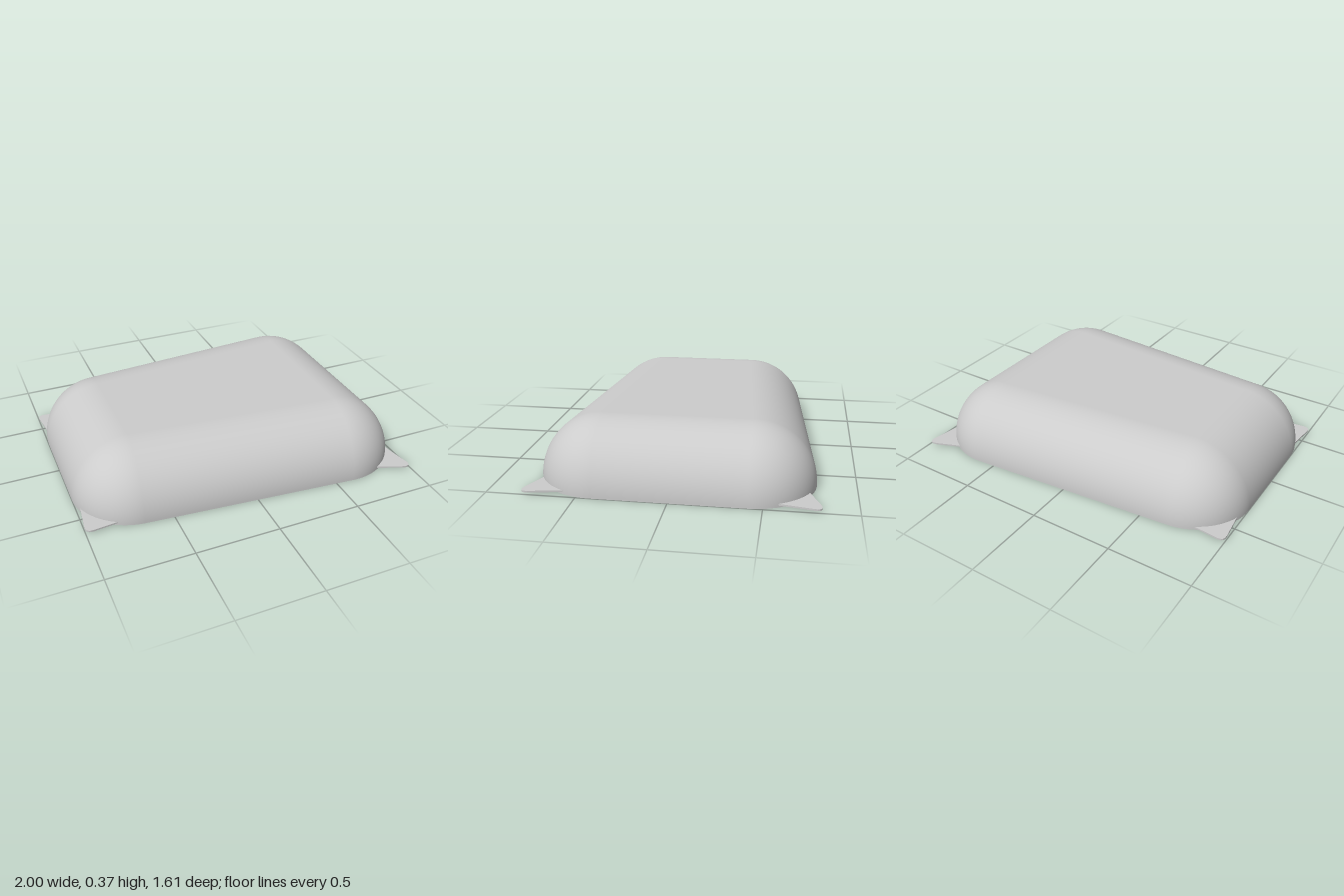
import * as THREE from 'three';

const R = 0.36;                       // edge and corner radius
const SKIRT = 0.01;                   // short straight rim under the rounding
const CX = 0.64, ZR = 0.42, ZL = 0.31; // centres of the corner roundings
const TAPER = Math.atan((ZR - ZL) / (2 * CX));
const MAT = new THREE.MeshStandardMaterial({ color: 0xcccccc, side: THREE.DoubleSide });

// Corner centres with the range of directions each one covers
const HALF = Math.PI / 2;
const CORNERS = [
  { x: CX, z: ZR, from: 0, to: HALF + TAPER },
  { x: -CX, z: ZL, from: HALF + TAPER, to: Math.PI },
  { x: -CX, z: -ZL, from: Math.PI, to: 3 * HALF - TAPER },
  { x: CX, z: -ZR, from: 3 * HALF - TAPER, to: 4 * HALF },
];

// Open tapered dome: rings of a rounded outline, shrinking towards the flat top
function domeGeometry(arcSteps = 24, rise = 24) {
  const pos = [], nor = [], idx = [];
  const per = arcSteps + 1, n = 4 * per;
  const ring = (phi, y) => {
    for (const c of CORNERS) {
      for (let k = 0; k <= arcSteps; k++) {
        const t = c.from + (c.to - c.from) * k / arcSteps;
        const h = Math.cos(phi);
        pos.push(c.x + R * h * Math.cos(t), y, c.z + R * h * Math.sin(t));
        nor.push(h * Math.cos(t), Math.sin(phi), h * Math.sin(t));
      }
    }
  };
  ring(0, 0);
  for (let i = 0; i <= rise; i++) {
    const phi = HALF * i / rise;
    ring(phi, SKIRT + R * Math.sin(phi));
  }
  for (let i = 0; i <= rise; i++) {
    for (let j = 0; j < n; j++) {
      const a = i * n + j, b = i * n + (j + 1) % n;
      idx.push(a, a + n, b);
      // corner points coincide on the last ring, so only straight sides need this half
      if (i < rise || j % per === arcSteps) idx.push(b, a + n, b + n);
    }
  }
  // Flat top between the four corner centres
  const top = (rise + 1) * n;
  const [p, q, r, s] = [0, 1, 2, 3].map(k => top + k * per);
  idx.push(p, r, q, p, s, r);

  const g = new THREE.BufferGeometry();
  g.setAttribute('position', new THREE.Float32BufferAttribute(pos, 3));
  g.setAttribute('normal', new THREE.Float32BufferAttribute(nor, 3));
  g.setIndex(idx);
  return g;
}

// Thin corner tab: a blunt-tipped triangle whose inner edge follows the dome
function tabGeometry({ centre, arc, edge, tip }, side) {
  const shape = new THREE.Shape();
  const steps = 10, r = R - 0.004;
  for (let k = 0; k <= steps; k++) {
    const t = arc[0] + (arc[1] - arc[0]) * k / steps;
    const x = centre[0] + r * Math.cos(t), z = side * (centre[1] + r * Math.sin(t));
    if (k === 0) shape.moveTo(x, z); else shape.lineTo(x, z);
  }
  shape.lineTo(edge[0][0], side * edge[0][1]);
  shape.quadraticCurveTo(tip[0], side * tip[1], edge[1][0], side * edge[1][1]);
  shape.closePath();
  const g = new THREE.ExtrudeGeometry(shape, { depth: 0.01, bevelEnabled: false, curveSegments: 6 });
  return g.rotateX(HALF).translate(0, 0.021, 0);
}

const TABS = {
  left: {
    centre: [CX, ZR], arc: [0.445, 1.12],
    edge: [[0.945, 0.8], [0.997, 0.765]], tip: [1.005, 0.82],
  },
  right: {
    centre: [-CX, ZL], arc: [2.82, 2.07],
    edge: [[-0.955, 0.636], [-0.997, 0.59]], tip: [-1.003, 0.641],
  },
};

export function createModel() {
  const model = new THREE.Group();
  model.name = 'taperedCover';

  const dome = new THREE.Mesh(domeGeometry(), MAT);
  dome.name = 'domeShell';
  model.add(dome);

  for (const [name, tab] of Object.entries(TABS)) {
    for (const side of [1, -1]) {
      const mesh = new THREE.Mesh(tabGeometry(tab, side), MAT);
      mesh.name = `${name}${side > 0 ? 'Front' : 'Back'}Tab`;
      model.add(mesh);
    }
  }
  return model;
}
